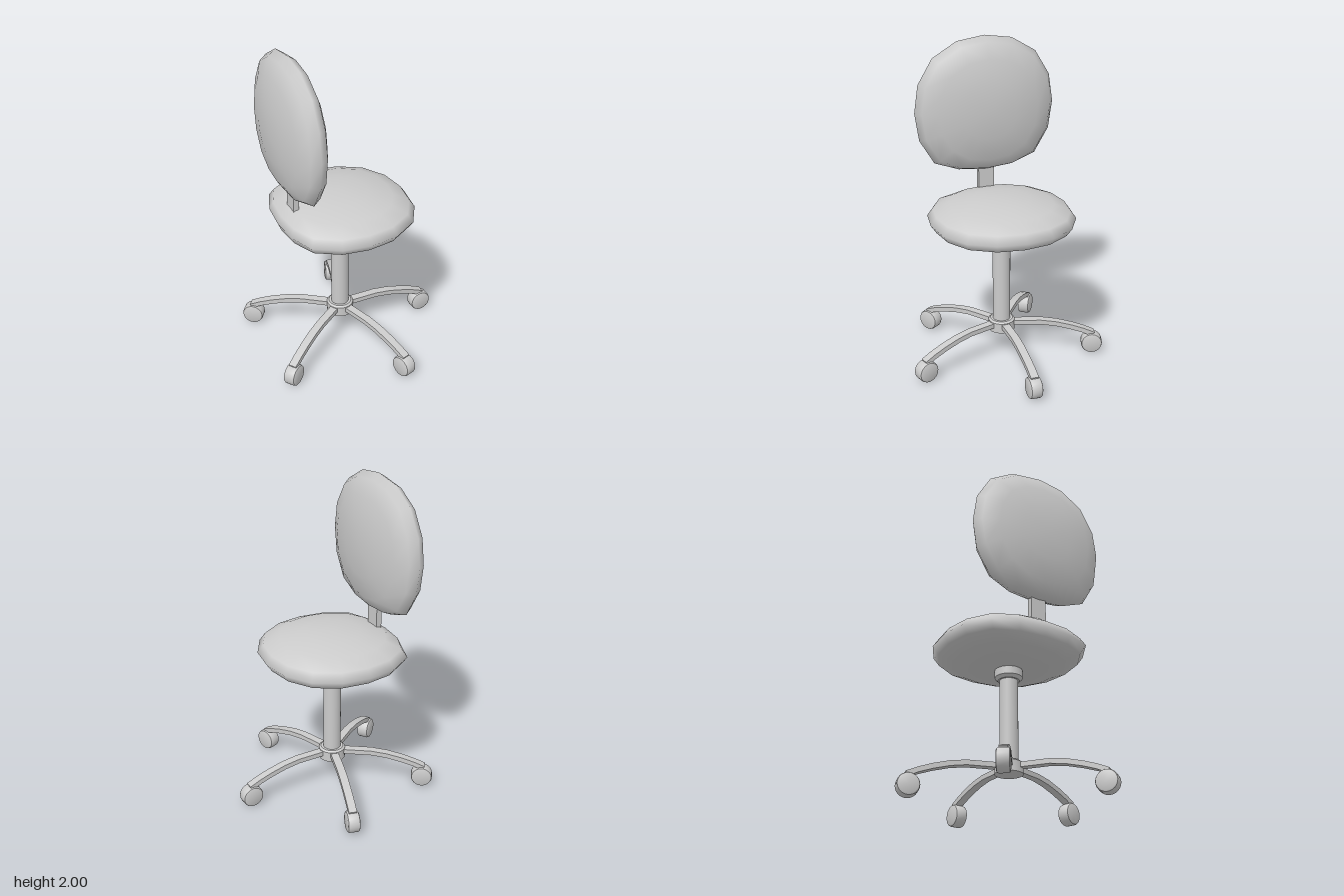
import * as THREE from 'three';
import { mergeVertices, toCreasedNormals } from 'three/addons/utils/BufferGeometryUtils.js';

const material = new THREE.MeshStandardMaterial({ color: 0xcccccc });

function add(parent, name, geometry, x = 0, y = 0, z = 0) {
  const mesh = new THREE.Mesh(geometry, material);
  mesh.name = name;
  mesh.position.set(x, y, z);
  parent.add(mesh);
  return mesh;
}

// Turned part with crisp edges; profile is [radius, y] from bottom to top
function turned(profile, sides) {
  const points = profile.map(([r, y]) => new THREE.Vector2(r, y));
  return toCreasedNormals(new THREE.LatheGeometry(points, sides), 0.5);
}

// Cushion: flattened ball, slightly squared in plan, blunter on its -x edge
function cushion() {
  const ball = new THREE.SphereGeometry(1, 16, 8);
  ball.deleteAttribute('uv');
  ball.deleteAttribute('normal');
  const geometry = mergeVertices(ball, 1e-4);
  const p = geometry.attributes.position;
  for (let i = 0; i < p.count; i++) {
    const angle = Math.atan2(p.getZ(i), p.getX(i));
    const swell = 0.448 * (1 + 0.04 * Math.sin(2 * angle) ** 2);
    let x = p.getX(i) * swell;
    if (x < -0.33) x = -0.33 + (x + 0.33) * 0.62;
    p.setXYZ(i, x, p.getY(i) * 0.13, p.getZ(i) * swell);
  }
  geometry.computeVertexNormals();
  return geometry;
}

// Arched leg: side profile extruded across its width
function legGeometry() {
  const top = [[0, 0.235], [0.25, 0.235], [0.35, 0.222], [0.45, 0.197], [0.53, 0.17], [0.595, 0.142]];
  const bottom = [[0.585, 0.112], [0.52, 0.142], [0.44, 0.168], [0.345, 0.192], [0.25, 0.205], [0, 0.205]];
  const shape = new THREE.Shape([...top, ...bottom].map(([x, y]) => new THREE.Vector2(x, y)));
  const geometry = new THREE.ExtrudeGeometry(shape, { depth: 0.05, bevelEnabled: false });
  geometry.translate(0, 0, -0.025);
  return toCreasedNormals(geometry, 0.4);
}

export function createModel() {
  const chair = new THREE.Group();
  chair.name = 'swivelChair';
  const cx = -0.02, cz = -0.005;

  // Seat and upright backrest share one cushion
  const pad = cushion();
  add(chair, 'seat', pad, cx, 0.94, cz);
  add(chair, 'backrest', pad, -0.328, 1.552, cz).rotation.z = Math.PI / 2;
  add(chair, 'backrestPost', new THREE.BoxGeometry(0.035, 0.28, 0.1), -0.322, 1.11, cz);

  // Column, collar under the seat and hub
  add(chair, 'column', new THREE.CylinderGeometry(0.055, 0.055, 0.64, 24), cx, 0.51, cz);
  add(chair, 'seatCollar', turned(
    [[0, 0.75], [0.065, 0.75], [0.083, 0.768], [0.083, 0.84], [0, 0.84]], 24), cx, 0, cz);
  add(chair, 'hub', turned(
    [[0, 0.175], [0.083, 0.175], [0.083, 0.24], [0.07, 0.25], [0, 0.25]], 24), cx, 0, cz);

  // Five legs, each with a caster
  const leg = legGeometry();
  const wheel = turned([[0, -0.038], [0.054, -0.038], [0.063, -0.034], [0.067, -0.025],
    [0.067, 0.025], [0.063, 0.034], [0.054, 0.038], [0, 0.038]], 24);
  wheel.rotateX(Math.PI / 2);
  for (let i = 0; i < 5; i++) {
    const arm = new THREE.Group();
    arm.name = 'baseArm' + (i + 1);
    arm.position.set(cx, 0, cz);
    arm.rotation.y = i * Math.PI * 2 / 5;
    add(arm, 'leg', leg);
    add(arm, 'casterWheel', wheel, 0.578, 0.067, 0);
    chair.add(arm);
  }
  return chair;
}
